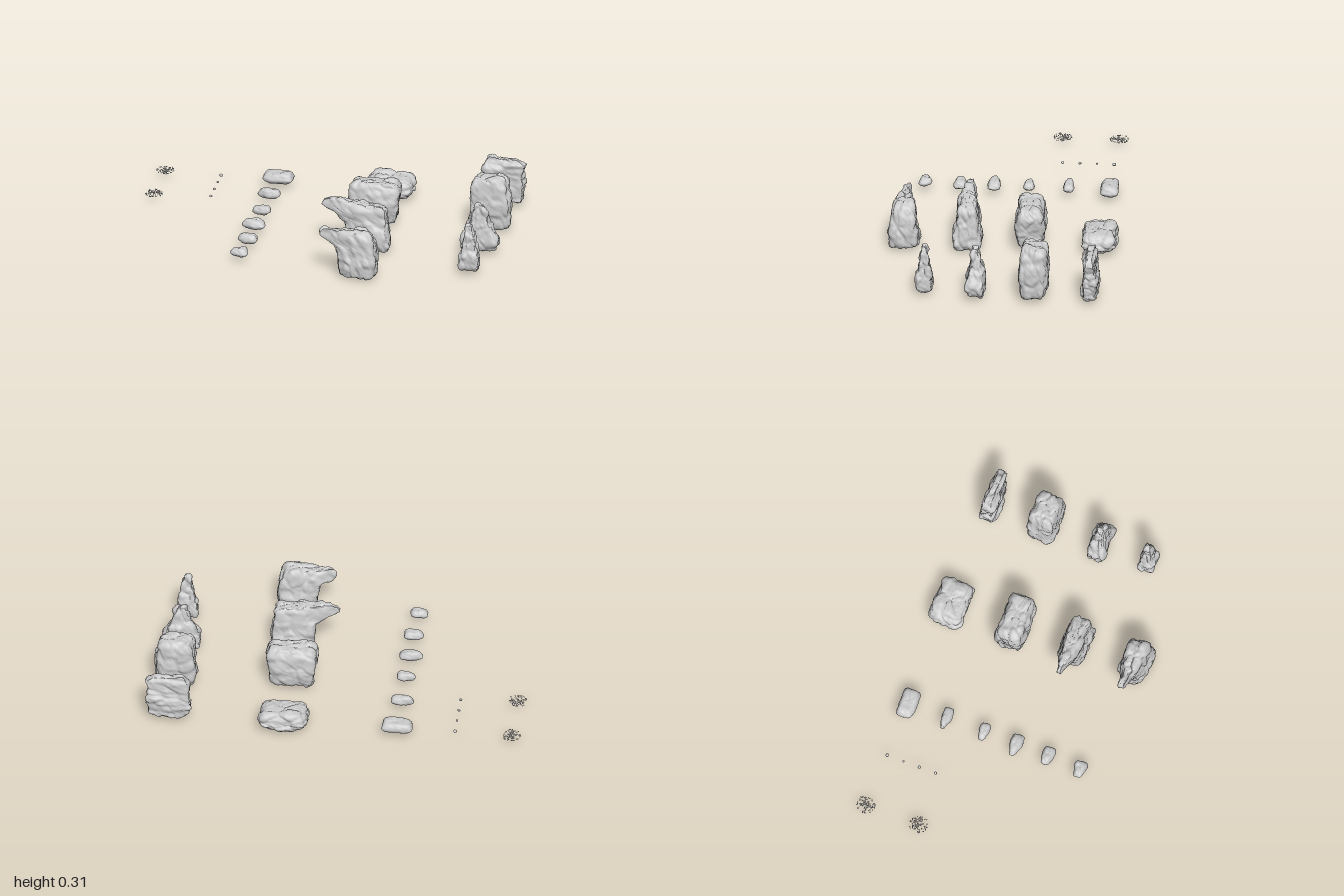
import * as THREE from 'three';
import { mergeVertices, mergeGeometries } from 'three/addons/utils/BufferGeometryUtils.js';

const { lerp, smoothstep, clamp } = THREE.MathUtils;
const stone = new THREE.MeshStandardMaterial({ color: 0xcccccc });

// repeatable pseudo-random value for a lattice cell
function hash(x, y, z, k) {
  const s = Math.sin(x * 127.1 + y * 311.7 + z * 74.7 + k * 53.3) * 43758.5453;
  return s - Math.floor(s);
}

// cellular relief: every cell bulges by its own amount, with a groove between cells
function chunks(x, y, z, seed) {
  const ix = Math.floor(x), iy = Math.floor(y), iz = Math.floor(z);
  let f1 = 9, f2 = 9, sum = 0, weight = 0;
  for (let a = ix - 1; a <= ix + 1; a++)
    for (let b = iy - 1; b <= iy + 1; b++)
      for (let c = iz - 1; c <= iz + 1; c++) {
        const d = Math.hypot(a + hash(a, b, c, seed) - x, b + hash(a, b, c, seed + 1) - y, c + hash(a, b, c, seed + 2) - z);
        const w = Math.exp(-9 * d);
        sum += w * (hash(a, b, c, seed + 3) * 2 - 1);
        weight += w;
        if (d < f1) { f2 = f1; f1 = d; } else if (d < f2) f2 = d;
      }
  return sum / weight - 0.7 * Math.exp(-(((f2 - f1) / 0.13) ** 2));
}

// outline of a rock at height t, from rows of [t, x0, x1, z0, z1] as fractions of its box
function outline(rows, t) {
  let i = 0;
  while (i < rows.length - 2 && t > rows[i + 1][0]) i++;
  const a = rows[i], b = rows[i + 1];
  const u = smoothstep(t, a[0], b[0]);
  return [1, 2, 3, 4].map((k) => lerp(a[k], b[k], u));
}

const plain = [[0, 0, 1, 0, 1], [1, 0, 1, 0, 1]];

// a rounded block shaped by its outline, roughened, then fitted to its box
function rock(name, box, o = {}) {
  const { rows = plain, q = 5, cell = [0.07, 0.1, 0.07], amp = 0.011, taper = 0, tilt = 0, seed = 1, detail = 80 } = o;
  const [x0, x1, y0, y1, z0, z1] = box;
  let g = new THREE.SphereGeometry(1, detail, Math.round(detail * 0.7));
  g.deleteAttribute('uv');
  g.deleteAttribute('normal');
  g = mergeVertices(g, 1e-5);
  const p = g.attributes.position;
  for (let i = 0; i < p.count; i++) {
    const v = [p.getX(i), p.getY(i), p.getZ(i)];
    const k = v.reduce((s, c) => s + Math.abs(c) ** q, 0) ** (-1 / q);
    const [fx, t, fz] = v.map((c) => (c * k + 1) / 2);
    const [a, b, c, d] = outline(rows, t);
    const sx = lerp(a, b, fx);
    const narrow = 1 - taper * (1 - smoothstep(sx, 0, 0.65));
    const sz = 0.5 + (lerp(c, d, fz) - 0.5) * narrow;
    p.setXYZ(i, lerp(x0, x1, sx), lerp(y0, y1, t + tilt * (0.5 - sx) * t), lerp(z0, z1, sz));
  }
  g.computeVertexNormals();
  const n = g.attributes.normal;
  for (let i = 0; i < p.count; i++) {
    const x = p.getX(i), y = p.getY(i), z = p.getZ(i);
    const h = amp * (chunks(x / cell[0], y / cell[1], z / cell[2], seed)
      + 0.35 * chunks(x / 0.035, y / 0.035, z / 0.035, seed + 9));
    p.setXYZ(i, x + n.getX(i) * h, y + n.getY(i) * h, z + n.getZ(i) * h);
  }
  g.computeBoundingBox();
  const { min, max } = g.boundingBox;
  const fit = (v, a, b, c, d) => lerp(c, d, clamp((v - a) / (b - a), 0, 1));
  for (let i = 0; i < p.count; i++)
    p.setXYZ(i, fit(p.getX(i), min.x, max.x, x0, x1), fit(p.getY(i), min.y, max.y, y0, y1), fit(p.getZ(i), min.z, max.z, z0, z1));
  g.computeVertexNormals();
  const mesh = new THREE.Mesh(g, stone);
  mesh.name = name;
  return mesh;
}

// flat scatter of tiny stone chips
function gravel(name, x, z, seed) {
  const bits = [];
  for (let i = 0; i < 110; i++) {
    const r = 0.05 * Math.pow(hash(i, 1, 0, seed), 0.65), a = hash(i, 2, 0, seed) * Math.PI * 2;
    const s = 0.002 + 0.0022 * hash(i, 3, 0, seed);
    const bit = new THREE.IcosahedronGeometry(s, 0);
    bit.scale(1.3, 0.8, 0.9);
    bit.rotateY(a * 5);
    bit.translate(x + r * Math.cos(a), 0.04 + 0.004 * (hash(i, 4, 0, seed) - 0.5), z + r * Math.sin(a));
    bits.push(bit);
  }
  const mesh = new THREE.Mesh(mergeGeometries(bits), stone);
  mesh.name = name;
  return mesh;
}

export function createModel() {
  const group = new THREE.Group();
  group.name = 'rockSet';
  const add = (...args) => group.add(rock(...args));

  // tall rocks: layered stack, block, shouldered spire, slim spire
  add('layeredRock', [0.75, 1, 0.015, 0.29, -0.565, -0.458], {
    rows: [[0, 0.05, 0.97, 0, 1], [0.25, 0.03, 0.97, 0.02, 0.98], [0.6, 0.06, 0.95, 0.08, 0.92], [0.85, 0.08, 1, 0.1, 0.9], [1, 0.1, 0.95, 0.18, 0.82]],
    cell: [0.16, 0.055, 0.12], amp: 0.013, q: 6, seed: 3,
  });
  add('tallBlockRock', [0.755, 0.985, 0.015, 0.315, -0.295, -0.13], {
    rows: [[0, 0.02, 1, 0, 0.97], [0.5, 0.02, 0.98, 0.02, 1], [1, 0.08, 0.92, 0.05, 0.95]],
    cell: [0.08, 0.13, 0.08], q: 6, tilt: 0.04, seed: 8,
  });
  add('shoulderedSpire', [0.77, 0.98, 0.01, 0.287, 0.04, 0.157], {
    rows: [[0, 0, 1, 0, 1], [0.25, 0.03, 0.97, 0.02, 0.98], [0.48, 0.16, 0.84, 0.1, 0.9], [0.72, 0.26, 0.74, 0.2, 0.8], [1, 0.36, 0.64, 0.28, 0.72]],
    cell: [0.06, 0.09, 0.06], seed: 14,
  });
  add('slimSpire', [0.81, 0.93, 0.018, 0.287, 0.32, 0.418], {
    rows: [[0, 0, 1, 0, 1], [0.28, 0.05, 0.95, 0.04, 0.96], [0.55, 0.17, 0.83, 0.16, 0.84], [0.8, 0.24, 0.76, 0.22, 0.78], [1, 0.32, 0.68, 0.3, 0.7]],
    cell: [0.06, 0.07, 0.06], amp: 0.009, seed: 21,
  });

  // broad rocks: low slab, block and two overhangs
  add('lowRock', [0.13, 0.4, 0.01, 0.135, -0.613, -0.412], {
    rows: [[0, 0.08, 0.93, 0.08, 0.92], [0.35, 0, 1, 0, 1], [0.65, 0.02, 0.97, 0.03, 0.97], [1, 0.08, 0.92, 0.08, 0.92]],
    cell: [0.1, 0.06, 0.08], seed: 27,
  });
  add('broadBlockRock', [0.12, 0.4, 0.01, 0.265, -0.23, -0.058], {
    rows: [[0, 0.02, 0.95, 0.02, 0.98], [0.4, 0.02, 0.96, 0, 1], [0.75, 0, 1, 0.06, 0.94], [1, 0.03, 0.97, 0.12, 0.9]],
    cell: [0.08, 0.1, 0.08], q: 6, seed: 33,
  });
  const overhang = (lip) => [
    [0, lip, 1, 0, 1], [0.3, lip, 0.99, 0.01, 0.99], [0.55, lip - 0.02, 0.97, 0.07, 0.93],
    [0.85, 0, 0.95, 0.13, 0.87], [1, 0, 0.93, 0.18, 0.82]];
  add('rearOverhangRock', [0.04, 0.415, 0.01, 0.296, 0.105, 0.265], {
    rows: overhang(0.38), taper: 0.6, tilt: 0.12, q: 7, cell: [0.07, 0.12, 0.06], seed: 40,
  });
  add('frontOverhangRock', [0.092, 0.415, 0, 0.275, 0.435, 0.61], {
    rows: overhang(0.32), taper: 0.62, tilt: 0.03, q: 7, cell: [0.07, 0.12, 0.06], seed: 46,
  });

  // small stones in a row
  [
    [-0.425, -0.26, 0.025, 0.09, -0.565, -0.465, 0.1, 6],
    [-0.408, -0.285, 0.03, 0.085, -0.327, -0.267, 0.5, 4],
    [-0.392, -0.292, 0.03, 0.08, -0.117, -0.057, 0.4, 4],
    [-0.412, -0.285, 0.028, 0.085, 0.063, 0.135, 0.5, 4],
    [-0.395, -0.29, 0.025, 0.08, 0.245, 0.315, 0.25, 4],
    [-0.397, -0.302, 0.03, 0.08, 0.428, 0.5, 0.25, 4],
  ].forEach(([x0, x1, y0, y1, z0, z1, taper, q], i) => add('smallStone' + (i + 1), [x0, x1, y0, y1, z0, z1], {
    rows: [[0, 0.1, 0.9, 0.1, 0.9], [0.4, 0, 1, 0, 1], [1, 0.12, 0.92, 0.12, 0.88]],
    taper, q, cell: [0.05, 0.05, 0.05], amp: 0.004, seed: 60 + i * 5, detail: 32,
  }));

  // pebbles
  [[-0.512, 0.009], [-0.42, 0.006], [-0.33, 0.008], [-0.238, 0.008]].forEach(([z, r], i) =>
    add('pebble' + (i + 1), [-0.65 - r, -0.65 + r, 0.04 - r * 0.7, 0.04 + r * 0.7, z - r, z + r], {
      q: 3, amp: 0.001, cell: [0.01, 0.01, 0.01], seed: 90 + i, detail: 12,
    }));

  // gravel patches
  group.add(gravel('rearGravel', -0.95, -0.515, 5), gravel('frontGravel', -0.95, -0.213, 12));
  return group;
}
